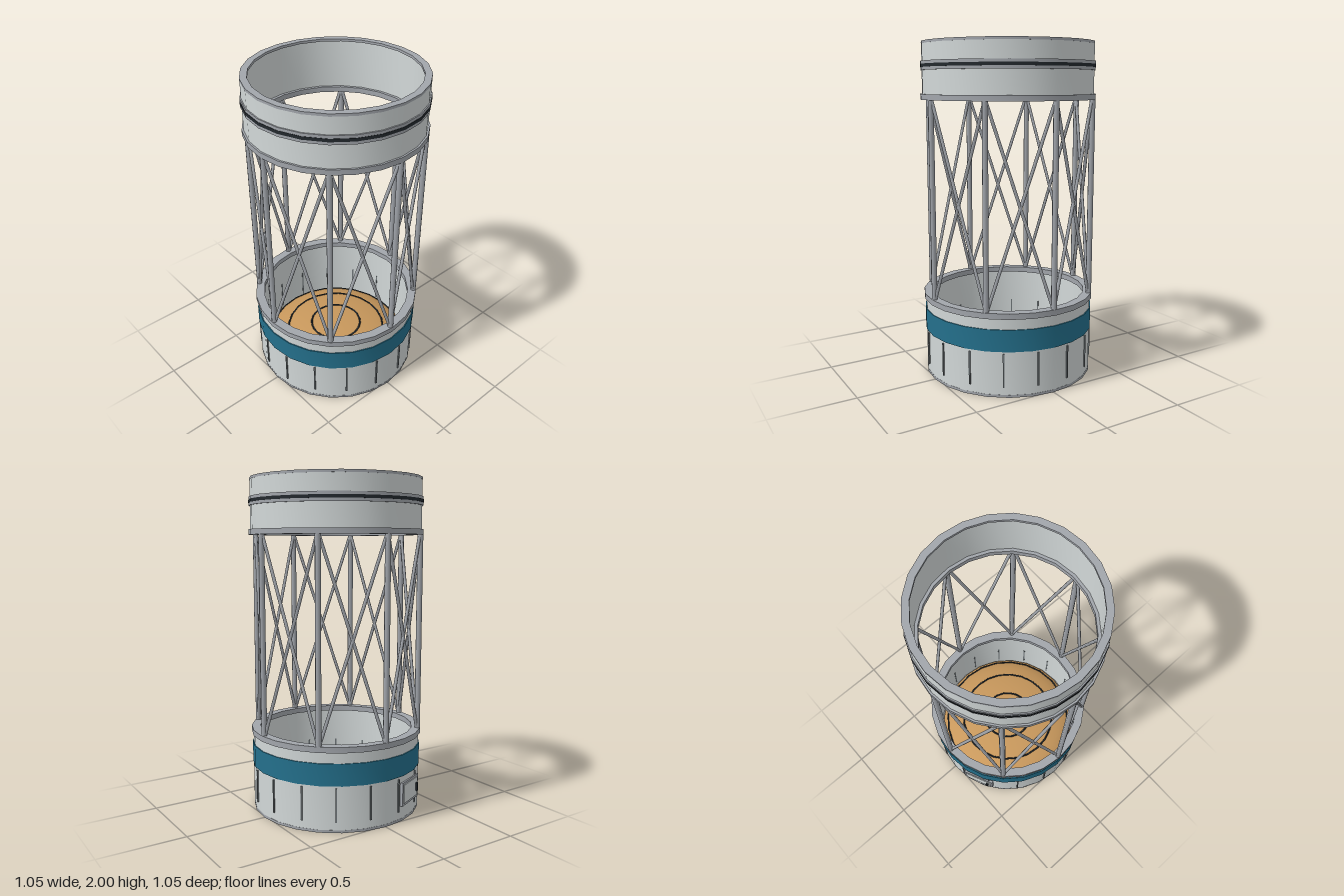
import * as THREE from 'three';
import { toCreasedNormals } from 'three/addons/utils/BufferGeometryUtils.js';

const SIDES = 24;

export function createModel() {
  const model = new THREE.Group();
  model.name = 'trussInterstage';

  const mat = (name, color, side = THREE.FrontSide) => {
    const m = new THREE.MeshStandardMaterial({ color, side });
    m.name = name;
    return m;
  };
  const white = mat('paleGreyPanel', 0xd2d8d8);
  const metal = mat('greyMetal', 0xa2a6ac);
  const seamGrey = mat('seamGrey', 0x70777a);
  const teal = mat('tealBand', 0x24708c);
  const dark = mat('darkSeal', 0x23292e);
  const tan = mat('tanDome', 0xc8985c, THREE.DoubleSide);

  const add = (name, geo, material, parent = model) => {
    const mesh = new THREE.Mesh(geo, material);
    mesh.name = name;
    parent.add(mesh);
    return mesh;
  };

  // Hollow ring with a rectangular section
  const ring = (name, rIn, rOut, y0, y1, material) => {
    const profile = [[rIn, y0], [rOut, y0], [rOut, y1], [rIn, y1], [rIn, y0]]
      .map(([r, y]) => new THREE.Vector2(r, y));
    add(name, toCreasedNormals(new THREE.LatheGeometry(profile, SIDES), 0.5), material);
  };

  // Round bar between two points
  const bar = (name, a, b, radius) => {
    const mesh = add(name, new THREE.CylinderGeometry(radius, radius, a.distanceTo(b), 8), metal);
    mesh.position.copy(a).add(b).multiplyScalar(0.5);
    mesh.quaternion.setFromUnitVectors(new THREE.Vector3(0, 1, 0), b.clone().sub(a).normalize());
  };

  // Lower skirt
  ring('lowerShell', 0.488, 0.513, 0.004, 0.475, white);
  ring('bottomLip', 0.472, 0.514, 0, 0.016, metal);
  ring('tealStripe', 0.5, 0.519, 0.275, 0.405, teal);
  ring('lowerFlange', 0.47, 0.524, 0.468, 0.502, metal);

  // Upper skirt
  ring('upperFlange', 0.47, 0.524, 1.667, 1.699, metal);
  ring('upperShell', 0.488, 0.513, 1.69, 1.996, white);
  ring('topLip', 0.474, 0.514, 1.985, 2, metal);
  ring('sealRingLower', 0.5, 0.52, 1.836, 1.853, metal);
  ring('darkSealBand', 0.5, 0.522, 1.853, 1.871, dark);
  ring('sealRingUpper', 0.5, 0.52, 1.871, 1.888, metal);

  // Truss: eight posts with a cross brace in each bay
  const node = (i, y, r) => {
    const a = i * Math.PI / 4;
    return new THREE.Vector3(Math.sin(a) * r, y, Math.cos(a) * r);
  };
  for (let i = 0; i < 8; i++) {
    bar('post', node(i, 0.48, 0.506), node(i, 1.69, 0.506), 0.017);
    bar('brace', node(i, 0.49, 0.504), node(i + 1, 1.68, 0.504), 0.01);
    bar('brace', node(i + 1, 0.49, 0.504), node(i, 1.68, 0.504), 0.01);
  }

  // Vertical seams around the lower skirt
  for (let i = 0; i < 16; i++) {
    const a = (i + 0.5) * Math.PI / 8;
    const seam = add('verticalSeam', new THREE.BoxGeometry(0.009, 0.2, 0.034), seamGrey);
    seam.position.set(Math.sin(a) * 0.5, 0.162, Math.cos(a) * 0.5);
    seam.rotation.y = a;
  }

  // Shallow tank dome with raised dark hoops
  const R = 0.476, base = 0.042, rise = 0.15;
  const domeY = r => base + rise * Math.sqrt(1 - (r / R) ** 2);
  const domeProfile = [];
  for (let i = 0; i <= 10; i++) {
    const t = i / 10 * Math.PI / 2;
    domeProfile.push(new THREE.Vector2(R * Math.cos(t), base + rise * Math.sin(t)));
  }
  add('tankDome', new THREE.LatheGeometry(domeProfile, SIDES), tan);
  for (const r of [0.165, 0.322, 0.441]) {
    const hoop = add('domeHoop', new THREE.TorusGeometry(r, 0.006, 6, SIDES), dark);
    hoop.rotation.x = Math.PI / 2;
    hoop.position.y = domeY(r);
  }

  // Access hatch
  const hatch = new THREE.Group();
  hatch.name = 'accessHatch';
  hatch.rotation.y = -65 * Math.PI / 180;
  model.add(hatch);
  const plate = (name, w, h, d, x, z, material) =>
    add(name, new THREE.BoxGeometry(w, h, d), material, hatch).position.set(x, 0.165, z);
  plate('hatchFrame', 0.21, 0.142, 0.026, 0, 0.504, metal);
  plate('hatchPanel', 0.18, 0.112, 0.008, 0, 0.517, white);
  plate('hatchHandle', 0.016, 0.05, 0.014, 0.07, 0.525, dark);

  return model;
}
